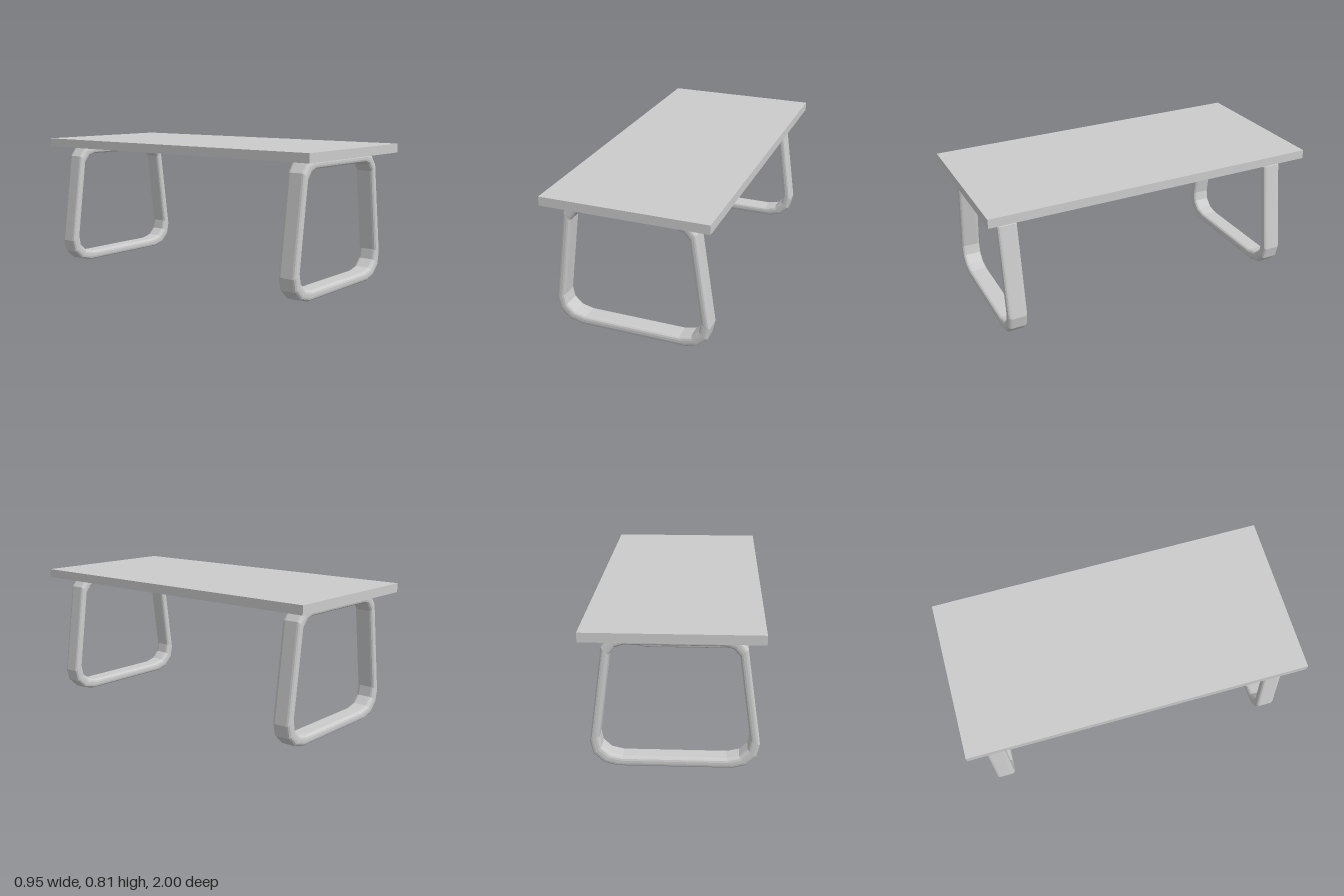
import * as THREE from 'three';

const material = new THREE.MeshStandardMaterial({ color: 0xcccccc, flatShading: true });

// Right half of the leg loop, bottom to top: [outer x, outer y, inner x, inner y]
const HALF = [
  [0.314, 0.001, 0.28, 0.057],
  [0.385, 0.02, 0.347, 0.073],
  [0.44, 0.073, 0.391, 0.116],
  [0.456, 0.145, 0.402, 0.175],
  [0.379, 0.692, 0.338, 0.65],
  [0.337, 0.745, 0.305, 0.69],
  [0.303, 0.755, 0.258, 0.706],
];

// Rounded rectangle section: u runs 0 (inner) to 1 (outer), z across the bar
function barSection(thickness, depth, radius, steps) {
  const points = [];
  for (let corner = 0; corner < 4; corner++) {
    const su = corner === 0 || corner === 3 ? 1 : -1;
    const sz = corner < 2 ? 1 : -1;
    for (let k = 0; k <= steps; k++) {
      const a = (corner + k / steps) * Math.PI / 2;
      const across = su * (thickness / 2 - radius) + radius * Math.cos(a);
      points.push([0.5 + across / thickness, sz * (depth / 2 - radius) + radius * Math.sin(a)]);
    }
  }
  return points;
}

// Closed loop skinned through cross-sections between the inner and outer outlines
function legGeometry() {
  const stations = [...HALF, ...HALF.slice().reverse().map(([ox, oy, ix, iy]) => [-ox, oy, -ix, iy])];
  const section = barSection(0.055, 0.114, 0.02, 3);
  const n = stations.length, m = section.length;
  const positions = [], index = [];
  stations.forEach(([ox, oy, ix, iy], i) => {
    section.forEach(([u, z], j) => {
      positions.push(ix + (ox - ix) * u, iy + (oy - iy) * u, z);
      const i2 = (i + 1) % n, j2 = (j + 1) % m;
      const a = i * m + j, b = i2 * m + j, c = i2 * m + j2, d = i * m + j2;
      index.push(a, b, c, a, c, d);
    });
  });
  const geometry = new THREE.BufferGeometry();
  geometry.setAttribute('position', new THREE.Float32BufferAttribute(positions, 3));
  geometry.setIndex(index);
  geometry.computeVertexNormals();
  return geometry;
}

export function createModel() {
  const table = new THREE.Group();
  table.name = 'table';

  // Flat slab top
  const top = new THREE.Mesh(new THREE.BoxGeometry(0.95, 0.052, 2), material);
  top.name = 'tabletop';
  top.position.y = 0.781;
  table.add(top);

  // One tapered loop leg at each end
  const geometry = legGeometry();
  for (const [name, z] of [['frontLeg', 0.862], ['backLeg', -0.856]]) {
    const leg = new THREE.Mesh(geometry, material);
    leg.name = name;
    leg.position.set(-0.008, 0, z);
    table.add(leg);
  }
  return table;
}
